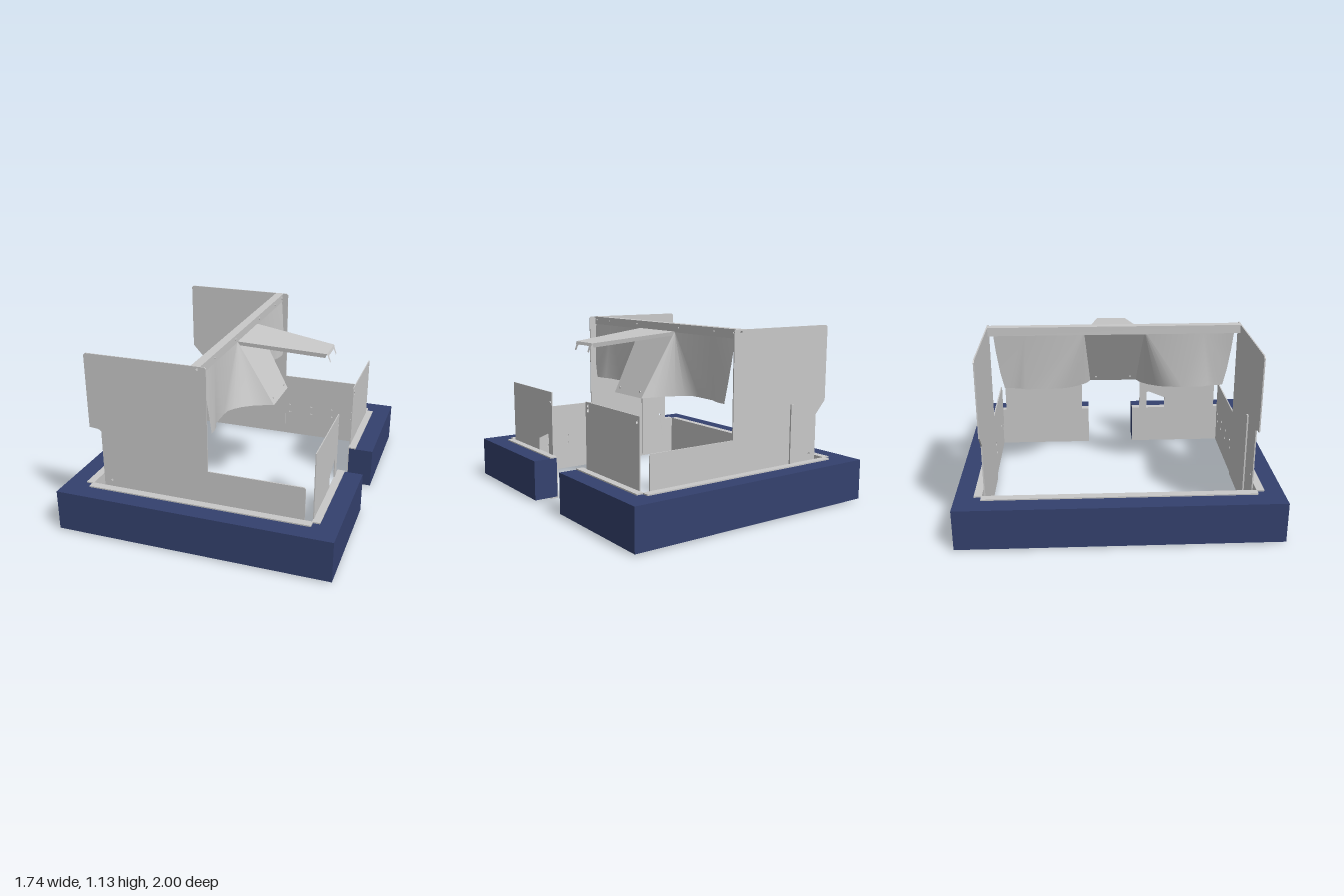
import * as THREE from 'three';
import { toCreasedNormals } from 'three/addons/utils/BufferGeometryUtils.js';

const steel = new THREE.MeshStandardMaterial({ color: 0xc8c8c8, side: THREE.DoubleSide });
steel.name = 'sheet steel';
const blue = new THREE.MeshStandardMaterial({ color: 0x34416e });
blue.name = 'blue beam';

function add(parent, name, geometry, material = steel) {
  const mesh = new THREE.Mesh(geometry, material);
  mesh.name = name;
  parent.add(mesh);
  return mesh;
}

// Box given by its minimum and maximum corners
function box(parent, name, [x0, y0, z0], [x1, y1, z1]) {
  const mesh = add(parent, name, new THREE.BoxGeometry(x1 - x0, y1 - y0, z1 - z0));
  mesh.position.set((x0 + x1) / 2, (y0 + y1) / 2, (z0 + z1) / 2);
  return mesh;
}

// Flat plate from an outline, with round holes given as [x, y, radius]
function plate(points, depth, holes = []) {
  const shape = new THREE.Shape(points.map(p => new THREE.Vector2(...p)));
  for (const [x, y, r] of holes) {
    shape.holes.push(new THREE.Path().absarc(x, y, r, 0, Math.PI * 2, true));
  }
  return new THREE.ExtrudeGeometry(shape, { depth, bevelEnabled: false, curveSegments: 6 });
}

// Sheet ruled between pairs of points
function ruled(pairs) {
  const pos = [];
  for (let i = 0; i + 1 < pairs.length; i++) {
    const [a, b] = pairs[i], [c, d] = pairs[i + 1];
    if (a !== c) pos.push(...a, ...d, ...c);
    pos.push(...a, ...b, ...d);
  }
  const g = new THREE.BufferGeometry();
  g.setAttribute('position', new THREE.Float32BufferAttribute(pos, 3));
  g.computeVertexNormals();
  return toCreasedNormals(g, 0.5);
}

// Steel channel capping the inner edge of a beam along +x, then turned into place
function channel(parent, name, inner, from, to, turn) {
  const group = new THREE.Group();
  group.name = name;
  box(group, 'web', [inner - 0.006, 0, from], [inner, 0.278, to]);
  box(group, 'topFlange', [inner, 0.27, from], [inner + 0.043, 0.278, to]);
  box(group, 'bottomFlange', [inner, 0, from], [inner + 0.043, 0.01, to]);
  group.rotation.y = turn;
  parent.add(group);
}

export function createModel() {
  const model = new THREE.Group();
  model.name = 'shieldedFrame';

  // Heavy base frame, open in the middle of the +x side
  const outline = [[0.87, 0.17], [0.87, 1], [-0.87, 1], [-0.87, -1], [0.87, -1], [0.87, -0.17],
    [0.71, -0.17], [0.71, -0.84], [-0.71, -0.84], [-0.71, 0.84], [0.71, 0.84], [0.71, 0.17]];
  const frame = plate(outline, 0.26);
  frame.rotateX(Math.PI / 2);
  frame.translate(0, 0.27, 0);
  add(model, 'baseFrame', frame, blue);

  // Channels lining the frame
  channel(model, 'leftChannelFront', 0.71, 0.17, 0.84, 0);
  channel(model, 'leftChannelBack', 0.71, -0.84, -0.17, 0);
  channel(model, 'rightChannel', 0.706, -0.84, 0.84, Math.PI);
  channel(model, 'backChannel', 0.842, -0.706, 0.71, Math.PI / 2);
  channel(model, 'frontChannel', 0.842, -0.71, 0.706, -Math.PI / 2);

  // Tall side panels with low extensions
  for (const s of [1, -1]) {
    const side = s > 0 ? 'front' : 'back';
    const notch = s > 0
      ? [[-0.7, 0.66], [-0.64, 0.655], [-0.622, 0.64]]
      : [[-0.7, 0.655], [-0.622, 0.57]];
    const panel = plate([[-0.622, 0.01], [0.067, 0.01], [0.067, 1.125], [0.057, 1.135],
      [-0.69, 1.135], [-0.702, 1.123], ...notch], 0.008,
    [[0.015, 1.12, 0.008], [-0.57, 0.32, 0.008]]);
    add(model, side + 'Panel', panel).position.z = s * 0.829 - 0.004;

    const holes = [];
    for (const x of [0.11, 0.28, 0.445, 0.6]) holes.push([x, 0.255, 0.011], [x, 0.195, 0.011]);
    const ext = plate([[0.067, 0.17], [0.66, 0.17], [0.66, 0.475], [0.65, 0.485], [0.067, 0.485]], 0.008, holes);
    add(model, side + 'PanelExtension', ext).position.z = s * 0.829 - 0.004;

    const z = s * 0.829 - 0.004;
    box(model, side + 'PanelStrip', [-0.42, 0.02, z - 0.01], [-0.395, 0.655, z]);
  }

  // Upright plates beside the opening
  const cutout = [[0.28, 0.27], [0.28, 0.405], [0.295, 0.412], [0.42, 0.36], [0.42, 0.27]];
  const uprights = {
    uprightFront: [[[0.225, 0.02], [0.225, 0.695], [0.805, 0.695], [0.805, 0.02]], [[0.245, 0.63, 0.008]]],
    uprightBack: [[[-0.22, 0.02], [-0.22, 0.695], [-0.805, 0.695], [-0.805, 0.02]],
      [[-0.247, 0.674, 0.011], [-0.247, 0.646, 0.013], [-0.78, 0.66, 0.01]]],
  };
  for (const [name, [points, holes]] of Object.entries(uprights)) {
    const shape = name === 'uprightFront'
      ? [[0.225, 0.02], [0.225, 0.695], [0.805, 0.695], [0.805, 0.27], ...cutout.slice().reverse(), [0.28, 0.02]]
      : points;
    const g = plate(shape, 0.006, holes);
    g.rotateY(-Math.PI / 2);
    add(model, name, g).position.x = 0.708;
  }

  // Cross bar joining the side panels
  box(model, 'crossBarTop', [-0.025, 1.127, -0.825], [0.03, 1.135, 0.825]);
  box(model, 'crossBarBack', [-0.025, 1.08, -0.825], [-0.018, 1.135, 0.825]);
  box(model, 'shieldTopStrip', [0.026, 1.08, -0.805], [0.032, 1.135, 0.805]);

  // Folded shield: sloped centre, conical folds, flat wings and curved outer corners
  const P = (x, y, z) => [x, y, z];
  const foldTop = P(0.03, 1.085, 0.2), wingTop = P(0.03, 1.085, 0.59);
  const fold = [[0.265, 0.665, 0.16], [0.2, 0.668, 0.19], [0.14, 0.674, 0.235], [0.09, 0.68, 0.29],
    [0.055, 0.685, 0.345], [0.035, 0.69, 0.4], [0.03, 0.69, 0.46]];
  const corner = [[0.032, 0.69, 0.6], [0.05, 0.69, 0.64], [0.06, 0.69, 0.69], [0.06, 0.69, 0.74],
    [0.057, 0.8, 0.765], [0.044, 0.95, 0.785], [0.03, 1.085, 0.797]];
  const half = [...fold.map(p => [foldTop, p]), ...corner.map(p => [wingTop, p])];
  const flip = ([x, y, z]) => [x, y, -z];
  add(model, 'shieldCentre', ruled([[foldTop, fold[0]], [flip(foldTop), flip(fold[0])]]));
  // Reversed order keeps the mirrored half facing outwards
  const reversed = pairs => pairs.map(([a, b]) => [b, a]);
  add(model, 'shieldFront', ruled(reversed(half)));
  add(model, 'shieldBack', ruled(half.map(([a, b]) => [flip(a), flip(b)])));

  // Tapered chute roof with side flanges and two bent end tabs
  const root = z => [0.03, 1.085, z], tip = z => [0.585, 1.03, z];
  add(model, 'chuteRoof', ruled([[root(0.2), tip(0.1)], [root(-0.2), tip(-0.1)]]));
  for (const s of [1, -1]) {
    add(model, 'chuteFlange', ruled([[root(0.2 * s), tip(0.1 * s)],
      [[0.03, 1.06, 0.195 * s], [0.575, 1.003, 0.097 * s]]]));
    add(model, 'chuteTab', ruled([
      [[0.583, 1.03, 0.095 * s], [0.605, 0.975, 0.09 * s]],
      [[0.583, 1.03, 0.065 * s], [0.605, 0.975, 0.07 * s]]]));
  }
  add(model, 'chuteLip', ruled([[tip(0.1), [0.592, 1.012, 0.095]], [tip(-0.1), [0.592, 1.012, -0.095]]]));

  // Small bolts on the shield
  for (const s of [1, -1]) {
    for (const [x, y, z] of [[0.27, 0.7, 0.12], [0.034, 1.11, 0.6], [0.034, 1.11, 0.24], [0.034, 1.11, 0.78]]) {
      const bolt = add(model, 'shieldBolt', new THREE.CylinderGeometry(0.007, 0.007, 0.008, 8));
      bolt.rotation.z = Math.PI / 2;
      bolt.position.set(y < 1 ? 0.247 : x, y, z * s);
    }
  }
  return model;
}
